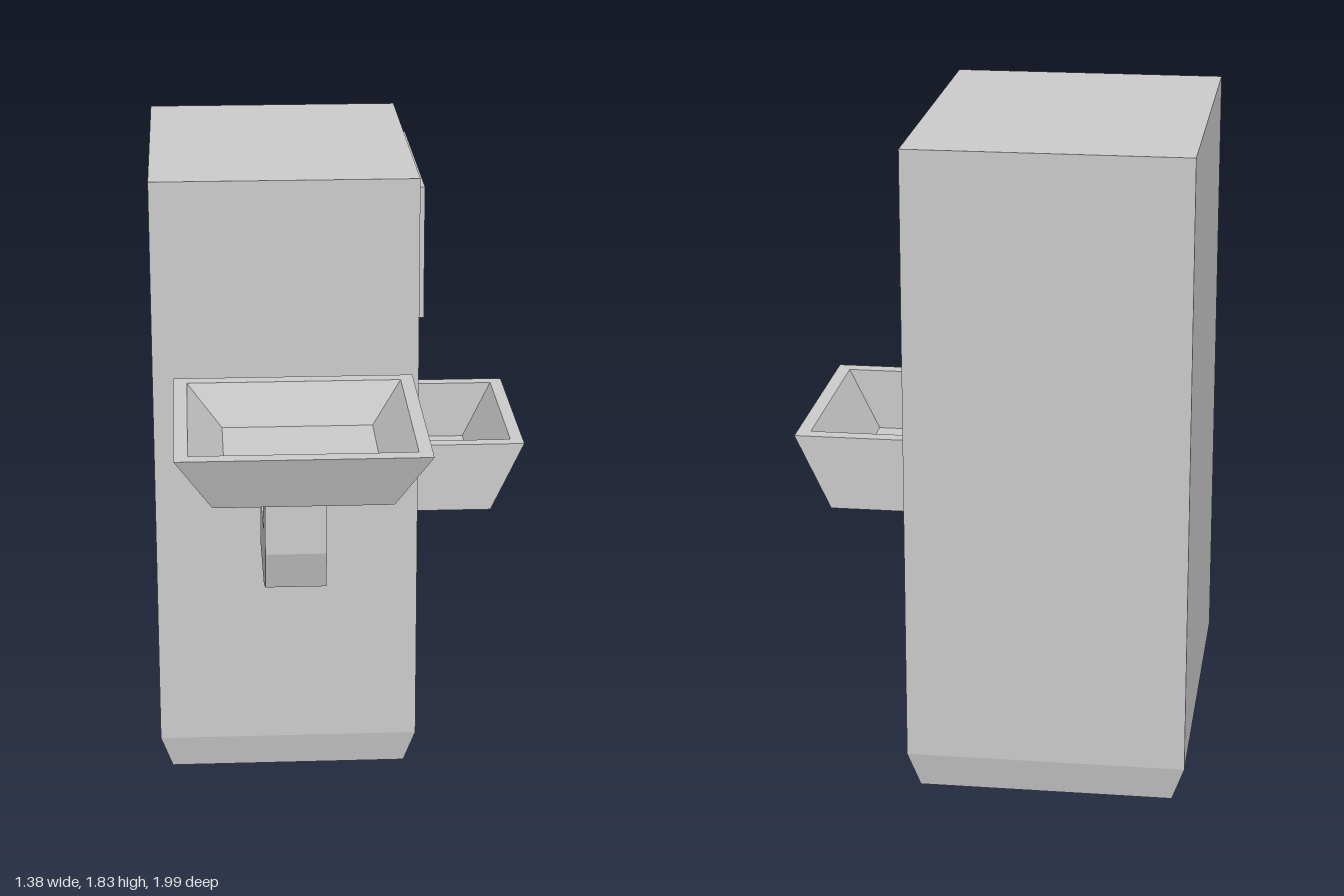
import * as THREE from 'three';

const material = new THREE.MeshStandardMaterial({ color: 0xcccccc, flatShading: true });

// Closed solid through rectangular rings [y, x0, x1, z0, z1], capped at both ends.
// Rings that turn inward and back down form a hollow.
function loft(rings) {
  const corners = rings.map(([y, x0, x1, z0, z1]) => [[x0, y, z1], [x1, y, z1], [x1, y, z0], [x0, y, z0]]);
  const pos = [];
  const quad = (a, b, c, d) => pos.push(...a, ...b, ...c, ...a, ...c, ...d);
  for (let r = 0; r < corners.length - 1; r++) {
    const lo = corners[r], hi = corners[r + 1];
    for (let i = 0; i < 4; i++) {
      const j = (i + 1) % 4;
      quad(lo[i], lo[j], hi[j], hi[i]);
    }
  }
  quad(...[...corners[0]].reverse());
  quad(...corners[corners.length - 1]);
  const geo = new THREE.BufferGeometry();
  geo.setAttribute('position', new THREE.Float32BufferAttribute(pos, 3));
  geo.computeVertexNormals();
  return geo;
}

// Same, growing out of the +x side: rings are [x, y0, y1, z0, z1]
function sideLoft(rings) {
  return loft(rings.map(([x, y0, y1, z0, z1]) => [x, -y1, -y0, z0, z1])).rotateZ(-Math.PI / 2);
}

export function createModel() {
  const machine = new THREE.Group();
  machine.name = 'machine';
  const add = (name, geo) => {
    const mesh = new THREE.Mesh(geo, material);
    mesh.name = name;
    machine.add(mesh);
  };

  // Cabinet and its two tapered feet
  const W = 0.388, D = 0.521;
  add('cabinet', loft([[0.1, -W, W, -D, D], [1.83, -W, W, -D, D]]));
  for (const [name, z0, z1] of [['frontFoot', 0.307, D], ['backFoot', -D, -0.312]]) {
    add(name, loft([
      [0, -W + 0.035, W - 0.035, z0 + 0.02, z1 - 0.02],
      [0.1, -W, W, z0, z1],
    ]));
  }

  // Framed screen, recessed inside its border
  add('screen', sideLoft([
    [W - 0.01, 1.375, 1.77, -0.37, 0.375],
    [0.414, 1.375, 1.77, -0.37, 0.375],
    [0.414, 1.405, 1.735, -0.33, 0.335],
    [0.392, 1.405, 1.735, -0.33, 0.335],
  ]));

  // Bevelled panel below the screen
  add('panel', sideLoft([
    [W, 1.09, 1.28, -0.22, 0.263],
    [0.41, 1.1, 1.272, -0.2, 0.242],
  ]));

  // Side tray with a sloping front, open against the cabinet
  add('sideTray', loft([
    [0.75, W - 0.008, 0.628, -0.328, 0.328],
    [0.96, W - 0.008, 0.728, -0.328, 0.328],
    [0.96, W - 0.008, 0.69, -0.285, 0.285],
    [0.78, W - 0.008, 0.602, -0.285, 0.285],
  ]));

  // Bent arm carrying the front tray
  const armProfile = new THREE.Shape([
    [0.5, 0.75], [0.9, 0.75], [1.052, 0.8], [1.085, 0.91],
    [1.085, 1.14], [0.905, 1.14], [0.905, 0.915], [0.5, 0.915],
  ].map(([z, y]) => new THREE.Vector2(z, y)));
  add('trayArm', new THREE.ExtrudeGeometry(armProfile, { depth: 0.17, bevelEnabled: false })
    .rotateY(-Math.PI / 2).translate(0.09, 0, 0));

  // Front tray with sloping walls
  add('frontTray', loft([
    [1.13, -0.225, 0.26, 0.686, 1.302],
    [1.28, -0.325, 0.36, 0.63, 1.357],
    [1.28, -0.288, 0.323, 0.676, 1.311],
    [1.16, -0.19, 0.24, 0.722, 1.266],
  ]));

  // The whole machine stands turned slightly
  machine.rotation.y = -0.211;
  machine.position.set(-0.09, 0, -0.41);
  const model = new THREE.Group();
  model.add(machine);
  return model;
}
